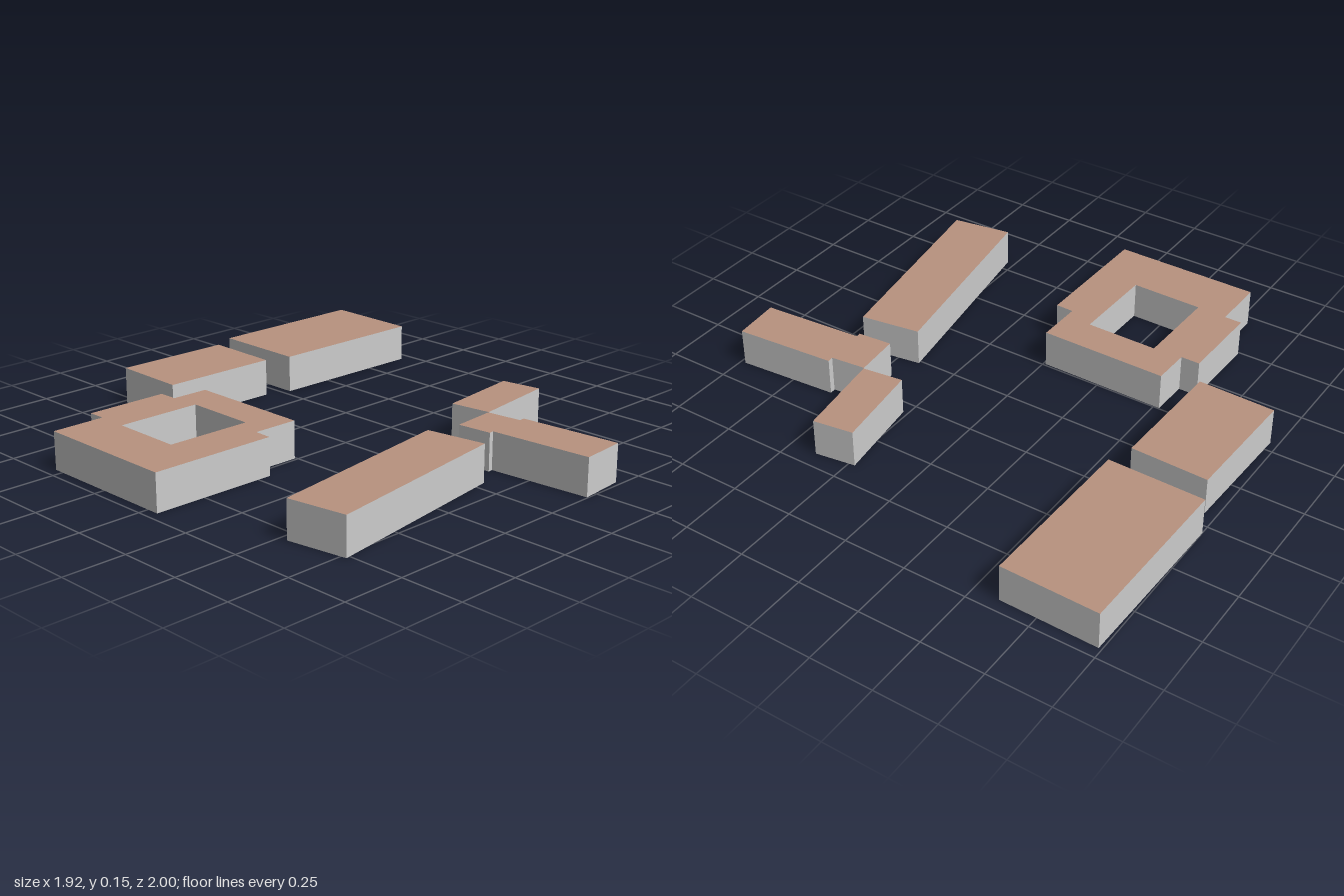
import * as THREE from 'three';

const HEIGHT = 0.15;

// Footprints as [x, z] corners, clockwise seen from above; courtyards run the other way.
const BUILDINGS = [
  { name: 'backMiddleBlock', outline: [[-0.297, -0.97], [0.19, -0.957], [0.182, -0.649], [-0.305, -0.66]] },
  { name: 'backLeftBlock', outline: [[0.287, -1], [0.957, -0.988], [0.95, -0.602], [0.282, -0.614]] },
  {
    name: 'courtyardBuilding',
    outline: [[-0.957, -0.54], [-0.74, -0.538], [-0.74, -0.608], [-0.405, -0.603], [-0.405, -0.527],
      [-0.254, -0.523], [-0.258, -0.01], [-0.443, -0.014], [-0.445, 0.058], [-0.96, 0.05]],
    courtyard: [[-0.743, -0.417], [-0.747, -0.128], [-0.4, -0.121], [-0.397, -0.411]],
  },
  { name: 'longBlock', outline: [[-0.804, 0.533], [0.014, 0.409], [0.05, 0.65], [-0.767, 0.773]] },
  { name: 'smallBlock', outline: [[0.304, 0.27], [0.66, 0.225], [0.684, 0.386], [0.325, 0.434]] },
  {
    name: 'steppedBlock',
    outline: [[0.138, 0.45], [0.321, 0.435], [0.336, 0.576], [0.36, 0.574],
      [0.391, 0.98], [0.2, 0.996], [0.17, 0.586], [0.15, 0.588]],
  },
];

// One upright quad per edge of every closed loop
function wallGeometry(loops) {
  const positions = [];
  for (const loop of loops) {
    loop.forEach(([ax, az], i) => {
      const [bx, bz] = loop[(i + 1) % loop.length];
      positions.push(
        ax, 0, az, ax, HEIGHT, az, bx, HEIGHT, bz,
        ax, 0, az, bx, HEIGHT, bz, bx, 0, bz,
      );
    });
  }
  const geometry = new THREE.BufferGeometry();
  geometry.setAttribute('position', new THREE.Float32BufferAttribute(positions, 3));
  geometry.computeVertexNormals();
  return geometry;
}

// Flat roof filling the outline, minus any courtyard
function roofGeometry(outline, courtyard) {
  const toPoints = (loop) => loop.map(([x, z]) => new THREE.Vector2(x, -z));
  const shape = new THREE.Shape(toPoints(outline));
  if (courtyard) shape.holes.push(new THREE.Path(toPoints(courtyard)));
  return new THREE.ShapeGeometry(shape).rotateX(-Math.PI / 2).translate(0, HEIGHT, 0);
}

export function createModel() {
  const model = new THREE.Group();
  model.name = 'buildings';
  // The shells are thin and open underneath
  const wallMaterial = new THREE.MeshStandardMaterial({ color: 0xcccccc, side: THREE.DoubleSide });
  const roofMaterial = new THREE.MeshStandardMaterial({ color: 0xb8927f, side: THREE.DoubleSide });

  for (const { name, outline, courtyard } of BUILDINGS) {
    const building = new THREE.Group();
    building.name = name;
    const walls = new THREE.Mesh(wallGeometry(courtyard ? [outline, courtyard] : [outline]), wallMaterial);
    walls.name = 'walls';
    const roof = new THREE.Mesh(roofGeometry(outline, courtyard), roofMaterial);
    roof.name = 'roof';
    building.add(walls, roof);
    model.add(building);
  }
  return model;
}
